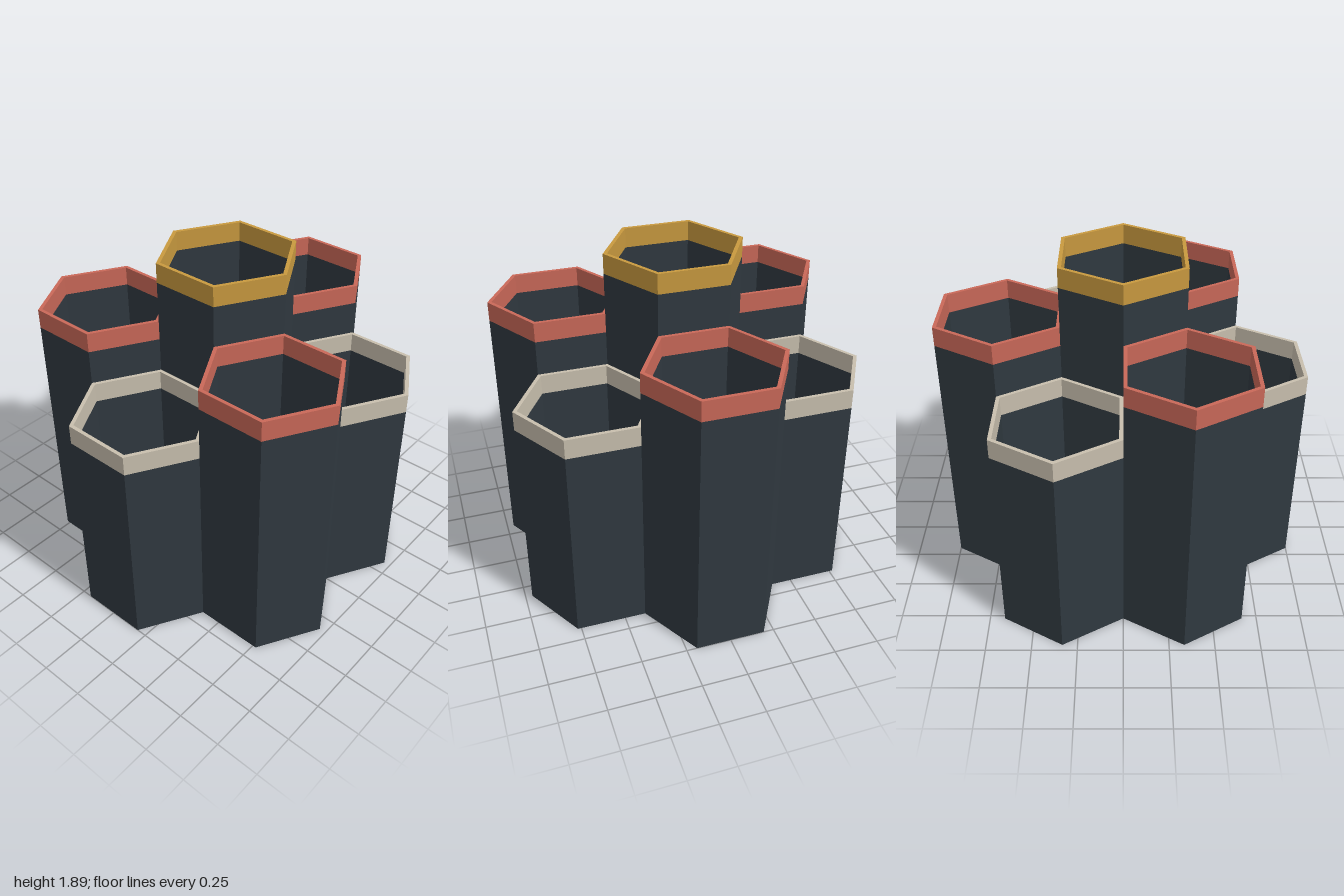
import * as THREE from 'three';

const APOTHEM = 1 / 3;
const OUTER = APOTHEM / Math.cos(Math.PI / 6);
const INNER = (APOTHEM - 0.02) / Math.cos(Math.PI / 6);
const BAND = 0.11;
const FLOOR = 0.05;

const material = (name, color) => {
  const m = new THREE.MeshStandardMaterial({ color });
  m.name = name;
  return m;
};

// Six-sided turned profile with crisp flat faces and a corner pointing to +z
function hexLathe(profile) {
  const points = profile.map(([r, y]) => new THREE.Vector2(r, y));
  const geometry = new THREE.LatheGeometry(points, 6).toNonIndexed();
  geometry.computeVertexNormals();
  return geometry;
}

export function createModel() {
  const slate = material('slate', 0x303940);
  const gold = material('gold', 0xc8993f);
  const coral = material('coral', 0xc96858);
  const cream = material('cream', 0xc8bfae);

  const model = new THREE.Group();
  model.name = 'hexagonPenHolder';

  function addCup(name, x, z, height, rimMaterial) {
    const cup = new THREE.Group();
    cup.name = name;
    cup.position.set(x, 0, z);
    const neck = height - BAND;

    // Hollow tube with a closed floor
    const tube = new THREE.Mesh(hexLathe([
      [0, 0], [OUTER, 0], [OUTER, neck], [INNER, neck], [INNER, FLOOR], [0, FLOOR],
    ]), slate);
    tube.name = 'tube';

    // Coloured band, visible outside, on top and inside
    const rim = new THREE.Mesh(hexLathe([
      [OUTER, neck], [OUTER, height], [INNER, height], [INNER, neck],
    ]), rimMaterial);
    rim.name = 'rim';

    cup.add(tube, rim);
    model.add(cup);
  }

  // Tall centre cup, ringed by alternating medium and short cups
  addCup('centreCup', 0, 0, 1.89, gold);
  for (let i = 0; i < 6; i++) {
    const a = (i * Math.PI) / 3;
    const medium = i % 2 === 0;
    addCup(
      medium ? 'mediumCup' : 'shortCup',
      2 * APOTHEM * Math.cos(a),
      2 * APOTHEM * Math.sin(a),
      medium ? 1.55 : 1.245,
      medium ? coral : cream,
    );
  }
  return model;
}
